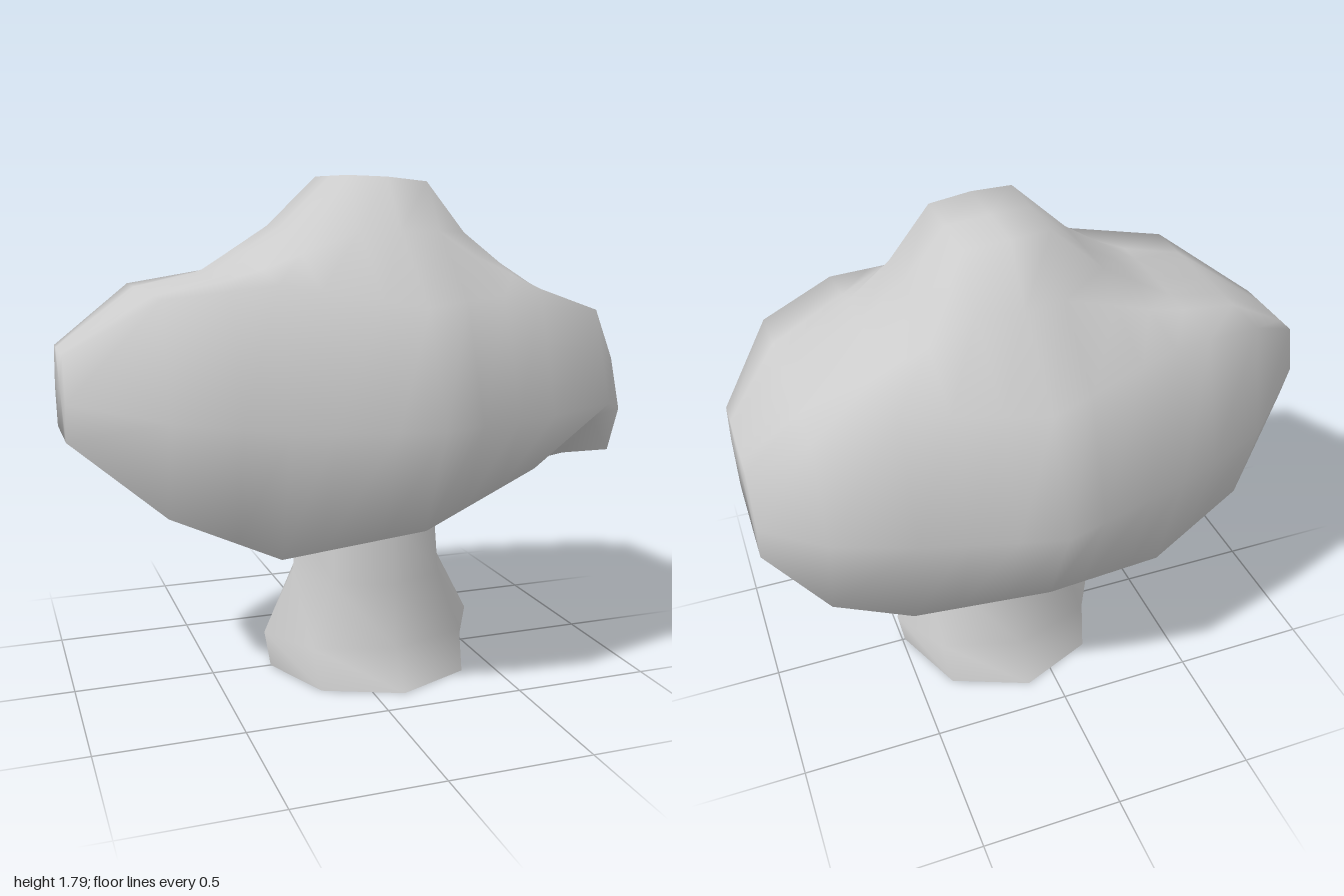
import * as THREE from 'three';

// Skin a list of closed rings (arrays of [x, y, z]); optionally close both ends with a fan.
function loft(rings, capped) {
  const n = rings[0].length, pos = rings.flat(2), idx = [];
  for (let i = 0; i < rings.length - 1; i++) {
    for (let j = 0; j < n; j++) {
      const a = i * n + j, b = i * n + (j + 1) % n;
      idx.push(a, b, a + n, b, b + n, a + n);
    }
  }
  if (capped) {
    for (const [r, flip] of [[0, true], [rings.length - 1, false]]) {
      const c = pos.length / 3;
      for (let k = 0; k < 3; k++) pos.push(rings[r].reduce((s, p) => s + p[k], 0) / n);
      for (let j = 0; j < n; j++) {
        const a = r * n + j, b = r * n + (j + 1) % n;
        if (flip) idx.push(c, b, a); else idx.push(c, a, b);
      }
    }
  }
  const g = new THREE.BufferGeometry();
  g.setAttribute('position', new THREE.Float32BufferAttribute(pos, 3));
  g.setIndex(idx);
  g.computeVertexNormals();
  return g;
}

// Crown body along x: shoulder z and y, widest z and y, lower edge y (front, back), centre underside y
const body = [
  [-1.00, 0.15, 1.22, 0.19, 1.07, 0.935, 0.935, 0.935],
  [-0.71, 0.37, 1.41, 0.465, 1.04, 0.71, 0.71, 0.71],
  [-0.36, 0.46, 1.455, 0.59, 1.01, 0.565, 0.565, 0.565],
  [0.10, 0.57, 1.38, 0.72, 1.01, 0.65, 0.65, 0.65],
  [0.55, 0.46, 1.42, 0.59, 1.01, 0.80, 0.59, 0.75],
  [0.81, 0.39, 1.335, 0.50, 1.02, 0.95, 0.66, 0.78],
  [1.00, 0.20, 1.13, 0.265, 0.95, 0.78, 0.78, 0.78],
];

// Crown top along x: ridge height, and height at the foot of the central hump
const ridge = [
  [-1.00, 1.22, 1.22], [-0.71, 1.41, 1.41], [-0.50, 1.455, 1.45], [-0.36, 1.54, 1.49],
  [-0.23, 1.62, 1.54], [-0.04, 1.795, 1.61], [0.10, 1.79, 1.61], [0.25, 1.775, 1.61],
  [0.40, 1.60, 1.52], [0.55, 1.49, 1.455], [0.81, 1.335, 1.335], [1.00, 1.13, 1.13],
];

// Body values at any x, by straight interpolation
function bodyAt(x) {
  const i = Math.max(1, body.findIndex((s) => s[0] >= x));
  const a = body[i - 1], b = body[i], t = (x - a[0]) / (b[0] - a[0]);
  return a.map((v, k) => v + (b[k] - v) * t);
}

function crownRing([x, top, foot]) {
  const [, sz, sy, wz, wy, front, back, under] = bodyAt(x);
  // one side from ridge to underside; s is +1 for the front, -1 for the back
  const side = (s, low) => [
    [x, top, s * sz / 3],
    [x, foot, s * sz * 0.56],
    [x, sy, s * sz],
    [x, wy, s * wz],
    [x, low, s * sz],
    [x, low > under ? under : (low + under) / 2, s * sz / 2],
  ];
  return [[x, top, 0], ...side(1, front), [x, under, 0], ...side(-1, back).reverse()];
}

// Eight-sided trunk ring with separate x and z radii
function trunkRing([y, cx, rx, rz]) {
  return Array.from({ length: 8 }, (_, j) => {
    const t = j * Math.PI / 4;
    return [cx + rx * Math.sin(t), y, rz * Math.cos(t)];
  });
}

export function createModel() {
  const group = new THREE.Group();
  group.name = 'tree';
  const material = new THREE.MeshStandardMaterial({ color: 0xcccccc, side: THREE.DoubleSide });

  const crown = new THREE.Mesh(loft(ridge.map(crownRing), true), material);
  crown.name = 'crown';

  // Open tube, flared at the foot, its top hidden in the crown
  const levels = [
    [0, 0.105, 0.385, 0.39],
    [0.135, 0.105, 0.408, 0.30],
    [0.37, 0.10, 0.29, 0.29],
    [0.60, 0.10, 0.27, 0.265],
    [0.85, 0.10, 0.24, 0.24],
  ];
  const trunk = new THREE.Mesh(loft(levels.map(trunkRing), false), material);
  trunk.name = 'trunk';

  group.add(crown, trunk);
  return group;
}
